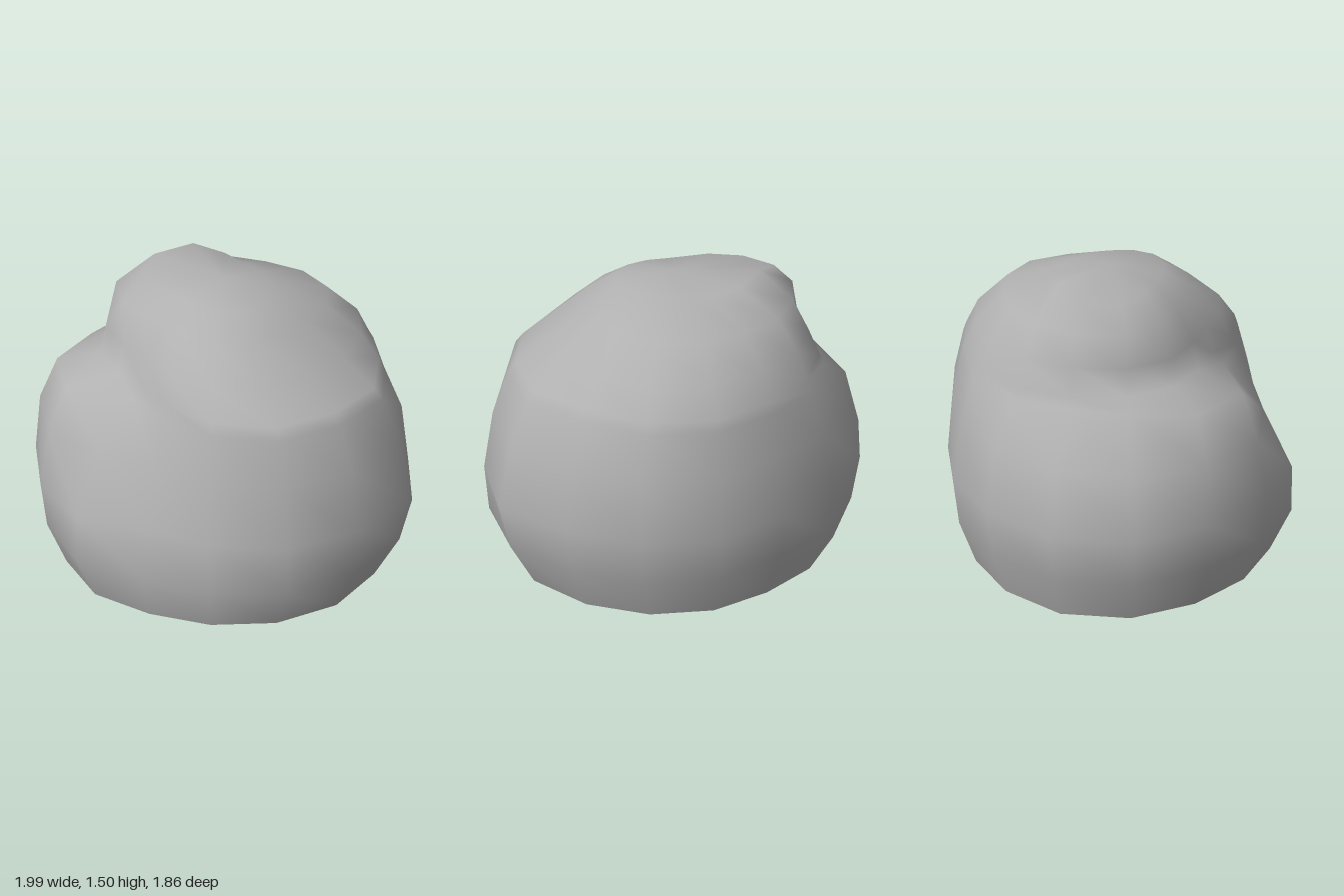
import * as THREE from 'three';

const SIDES = 16;

// Horizontal cross-sections from the ground up: radii (in hundredths)
// start at +x and turn towards the front (+z).
const HEIGHTS = [0, 0.25, 0.5, 0.8, 1.02, 1.07, 1.2, 1.35, 1.44];
const RADII = [
  [87, 84, 81, 80, 84, 84, 85, 88, 88, 84, 80, 77, 79, 81, 84, 88],
  [98, 95, 90, 87, 94, 93, 94, 98, 97, 92, 88, 84, 88, 91, 94, 100],
  [99, 94, 86, 80, 93, 95, 96, 101, 100, 95, 90, 86, 92, 95, 97, 105],
  [93, 88, 79, 71, 77, 89, 92, 94, 91, 88, 84, 82, 88, 92, 92, 97],
  [84, 82, 72, 62, 56, 79, 82, 74, 69, 74, 77, 77, 82, 84, 82, 87],
  [80, 78, 70, 58, 50, 53, 60, 64, 67, 72, 74, 75, 80, 81, 79, 82],
  [62, 62, 60, 53, 47, 49, 57, 62, 63, 66, 68, 69, 73, 74, 70, 66],
  [43, 44, 42, 38, 34, 38, 48, 58, 60, 58, 57, 55, 57, 57, 52, 45],
  [30, 30, 27, 24, 22, 24, 32, 42, 50, 41, 36, 30, 28, 27, 27, 28],
];

// Small raised knob on the crown
function knobLift(x, z) {
  return 0.06 * Math.exp(-((x + 0.37) ** 2 + (z + 0.16) ** 2) / 0.02);
}

function boulderGeometry() {
  const positions = [];
  const indices = [];

  RADII.forEach((ring, level) => {
    ring.forEach((radius, i) => {
      const angle = (i / SIDES) * Math.PI * 2;
      const x = (Math.cos(angle) * radius) / 100;
      const z = (Math.sin(angle) * radius) / 100;
      const lift = level === RADII.length - 1 ? knobLift(x, z) : 0;
      positions.push(x, HEIGHTS[level] + lift, z);
    });
  });

  // Walls between neighbouring rings
  for (let level = 0; level < RADII.length - 1; level++) {
    for (let i = 0; i < SIDES; i++) {
      const a = level * SIDES + i;
      const b = level * SIDES + ((i + 1) % SIDES);
      indices.push(a, a + SIDES, b + SIDES, a, b + SIDES, b);
    }
  }

  // Crown cap; the underside stays open
  const centre = positions.length / 3;
  const top = (RADII.length - 1) * SIDES;
  positions.push(0, 1.48, -0.02);
  for (let i = 0; i < SIDES; i++) {
    indices.push(centre, top + ((i + 1) % SIDES), top + i);
  }

  const geometry = new THREE.BufferGeometry();
  geometry.setAttribute('position', new THREE.Float32BufferAttribute(positions, 3));
  geometry.setIndex(indices);
  geometry.computeVertexNormals();
  return geometry;
}

export function createModel() {
  const group = new THREE.Group();
  group.name = 'rock';

  const stone = new THREE.MeshStandardMaterial({ color: 0xb0b0b0, side: THREE.DoubleSide });
  stone.name = 'grey stone';

  const boulder = new THREE.Mesh(boulderGeometry(), stone);
  boulder.name = 'boulder';
  group.add(boulder);
  return group;
}
